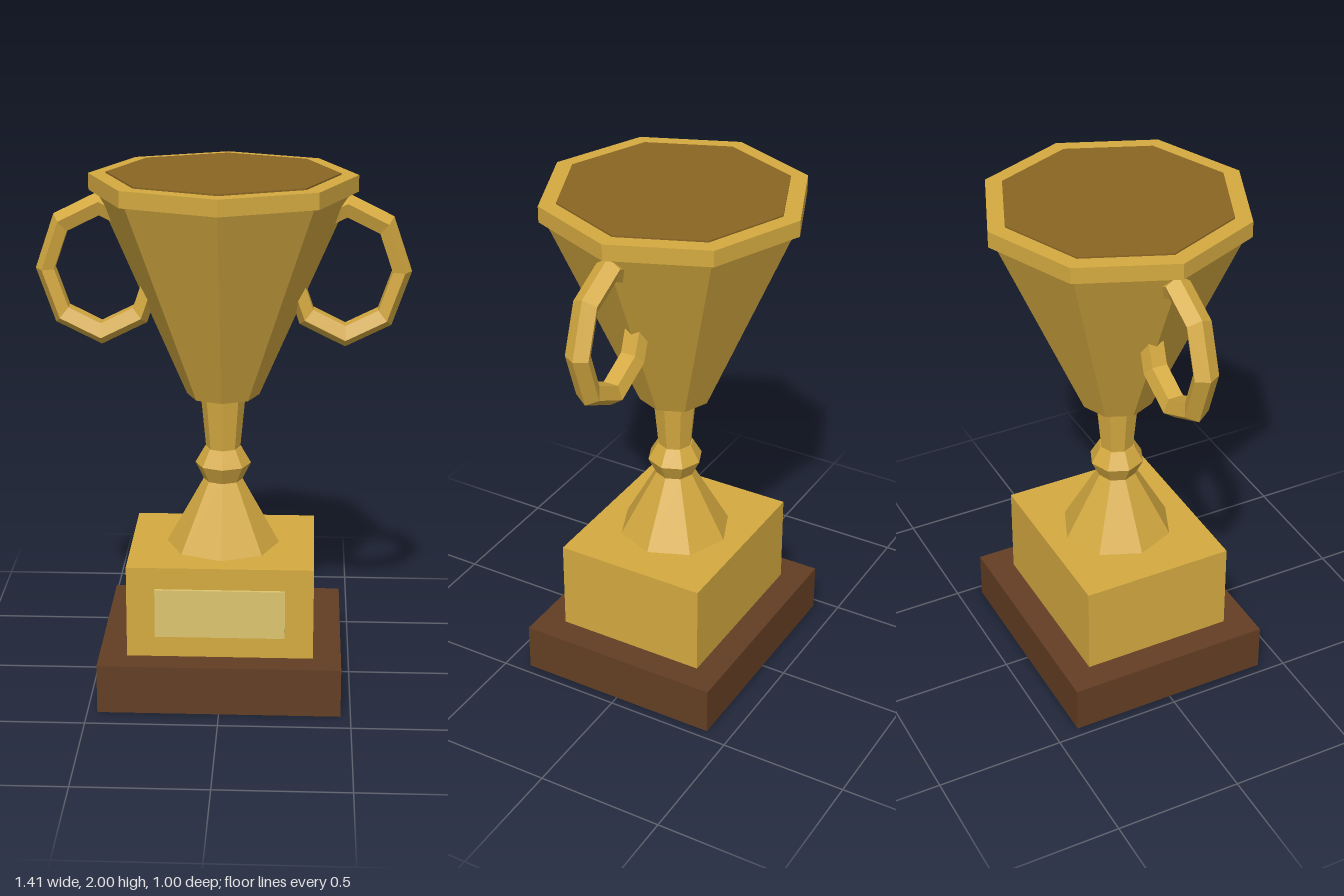
import * as THREE from 'three';

const flat = (name, color) => {
  const m = new THREE.MeshStandardMaterial({ color, flatShading: true });
  m.name = name;
  return m;
};

export function createModel() {
  const gold = flat('gold', 0xd4a940);
  const darkGold = flat('dark gold', 0x8a6623);
  const plaqueGold = flat('pale gold', 0xdcc46e);
  const wood = flat('wood', 0x633e23);

  const group = new THREE.Group();
  group.name = 'trophyCup';

  const add = (name, geometry, material, x = 0, y = 0, z = 0) => {
    const mesh = new THREE.Mesh(geometry, material);
    mesh.name = name;
    mesh.position.set(x, y, z);
    group.add(mesh);
    return mesh;
  };
  // box standing between two heights
  const block = (name, w, d, y0, y1, material, z = 0) =>
    add(name, new THREE.BoxGeometry(w, y1 - y0, d), material, 0, (y0 + y1) / 2, z);
  // eight-sided tapered section between two heights
  const section = (name, r0, r1, y0, y1, material = gold) =>
    add(name, new THREE.CylinderGeometry(r1, r0, y1 - y0, 8), material, 0, (y0 + y1) / 2);

  // base
  block('plinth', 0.924, 0.81, 0, 0.19, wood);
  block('pedestal', 0.71, 0.6, 0.19, 0.55, gold);
  block('plaque', 0.494, 0.02, 0.275, 0.465, plaqueGold, 0.303);

  // foot, knot and stem
  section('foot', 0.218, 0.075, 0.55, 0.81);
  section('knotLower', 0.075, 0.107, 0.81, 0.875);
  section('knotUpper', 0.107, 0.07, 0.875, 0.94);
  section('stem', 0.066, 0.086, 0.94, 1.15);

  // cup
  section('bowl', 0.138, 0.476, 1.15, 1.932);
  section('rim', 0.5, 0.5, 1.932, 1.994);
  section('cupInterior', 0.434, 0.434, 1.98, 2, darkGold);

  // handles, tall eight-sided rings set into the bowl
  for (const side of [1, -1]) {
    const ring = new THREE.TorusGeometry(0.204, 0.04, 5, 8);
    const handle = add(side > 0 ? 'leftHandle' : 'rightHandle', ring, gold, side * 0.46, 1.635, 0);
    handle.scale.set(1, 1.2, 1.25);
  }
  return group;
}
